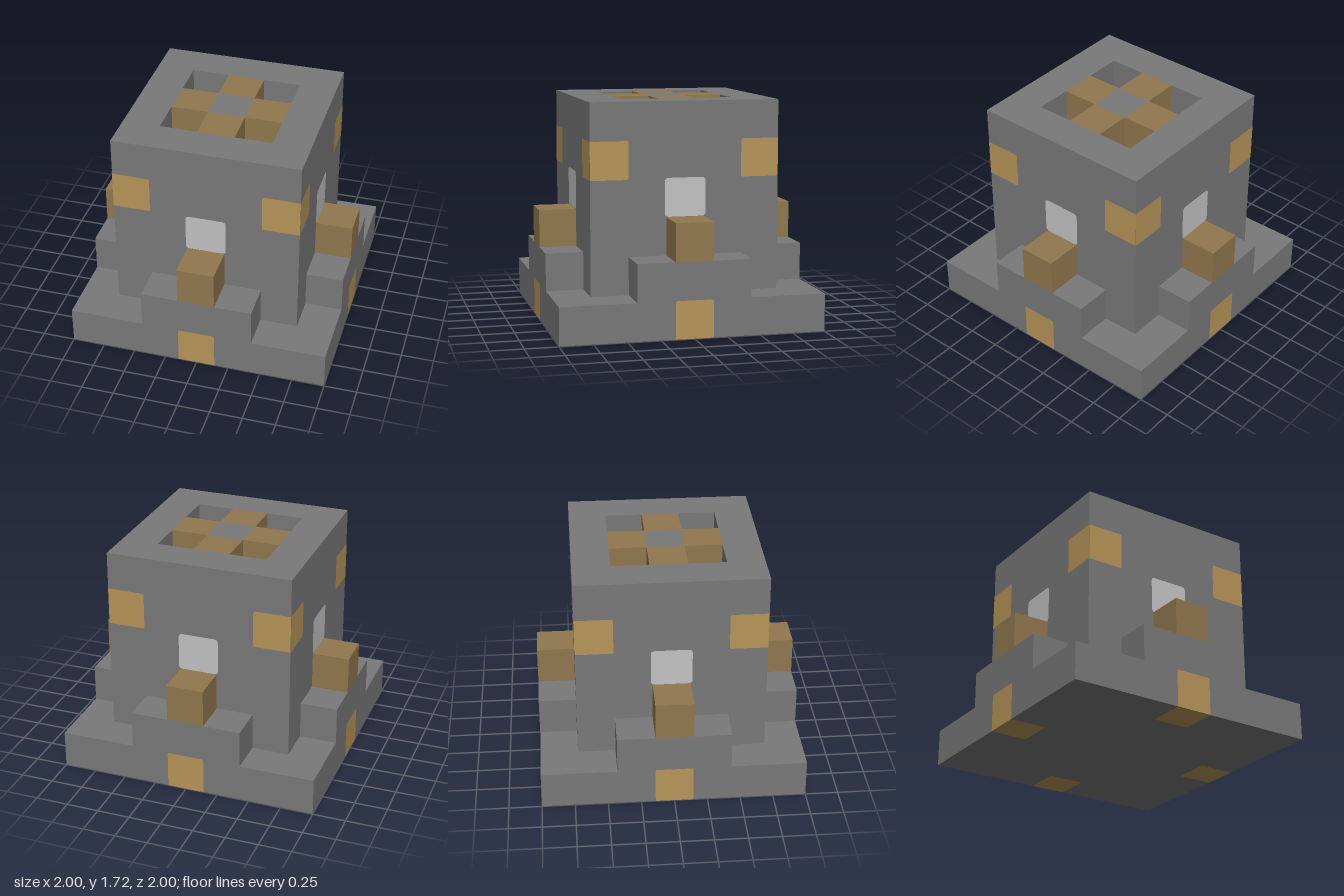
import * as THREE from 'three';

const U = 2 / 7;      // one block
const SKIN = 0.002;   // how far painted faces sit in front of the blocks

export function createModel() {
  const material = (name, color) => {
    const m = new THREE.MeshStandardMaterial({ color });
    m.name = name;
    return m;
  };
  const stone = material('stone grey', 0x797979);
  const wood = material('wood brown', 0x91784e);
  const gold = material('pale gold', 0xb79559);
  const light = material('light grey', 0xc3c3c3);
  const blue = material('water blue', 0x3558b7);

  const model = new THREE.Group();
  model.name = 'blockTower';

  // Box measured in blocks; y is its underside
  const block = (parent, name, mat, w, h, d, x, y, z) => {
    const mesh = new THREE.Mesh(new THREE.BoxGeometry(w * U, h * U, d * U), mat);
    mesh.position.set(x * U, (y + h / 2) * U, z * U);
    mesh.name = name;
    parent.add(mesh);
    return mesh;
  };

  // Flat painted face with radii for its bottom-left, bottom-right, top-right, top-left corners
  const patch = (parent, name, mat, w, h, [bl, br, tr, tl], x, y, z) => {
    const s = new THREE.Shape();
    s.moveTo(-w / 2 + bl, -h / 2);
    s.lineTo(w / 2 - br, -h / 2);
    s.quadraticCurveTo(w / 2, -h / 2, w / 2, -h / 2 + br);
    s.lineTo(w / 2, h / 2 - tr);
    s.quadraticCurveTo(w / 2, h / 2, w / 2 - tr, h / 2);
    s.lineTo(-w / 2 + tl, h / 2);
    s.quadraticCurveTo(-w / 2, h / 2, -w / 2, h / 2 - tl);
    s.lineTo(-w / 2, -h / 2 + bl);
    s.quadraticCurveTo(-w / 2, -h / 2, -w / 2 + bl, -h / 2);
    const mesh = new THREE.Mesh(new THREE.ShapeGeometry(s, 4), mat);
    mesh.position.set(x, y, z);
    mesh.name = name;
    parent.add(mesh);
    return mesh;
  };

  // Base slab and tower body
  block(model, 'base', stone, 7, 1, 7, 0, 0, 0);
  block(model, 'towerBody', stone, 5, 4, 5, 0, 1, 0);

  // Open square rim around the top
  const square = (Type, r) => new Type([[-r, -r], [r, -r], [r, r], [-r, r]]
    .map(([x, y]) => new THREE.Vector2(x, y)));
  const rimShape = square(THREE.Shape, 2.5 * U);
  rimShape.holes.push(square(THREE.Path, 1.5 * U));
  const rim = new THREE.Mesh(
    new THREE.ExtrudeGeometry(rimShape, { depth: U, bevelEnabled: false }), stone);
  rim.rotation.x = -Math.PI / 2;
  rim.position.y = 5 * U;
  rim.name = 'towerRim';
  model.add(rim);

  // Centre of the cross between the pits
  block(model, 'crossCentre', stone, 1, 1, 1, 0, 5, 0);

  // Each side repeats the same set of parts
  const r = 0.015;
  for (let i = 0; i < 4; i++) {
    const side = new THREE.Group();
    side.name = 'side' + (i + 1);
    side.rotation.y = i * Math.PI / 2;
    model.add(side);

    block(side, 'step', stone, 3, 1, 1, 0, 1, 3);
    block(side, 'knob', wood, 1, 1, 1, 0, 2, 3);
    block(side, 'crossArm', wood, 1, 1, 1, 0, 5, 1);

    // Blue floor of one corner pit
    const floor = patch(side, 'pitFloor', blue, U, U, [0, 0, 0, 0], U, 5 * U + SKIN, U);
    floor.rotation.x = -Math.PI / 2;

    // Gold face on the base edge, carried on under the base
    patch(side, 'baseInlay', gold, U, U, [0, 0, r, r], 0, U / 2, 1 + SKIN);
    const under = patch(side, 'undersideInlay', gold, U, U, [r, r, 0, 0], 0, -SKIN, 3 * U);
    under.rotation.x = Math.PI / 2;
    under.scale.y = 1;
    // Gold faces meeting at the tower corners
    const front = 2.5 * U + SKIN;
    patch(side, 'cornerInlayLeft', gold, U, U, [r, 0, 0, r], 2 * U, 4.5 * U, front);
    patch(side, 'cornerInlayRight', gold, U, U, [0, r, r, 0], -2 * U, 4.5 * U, front);

    // Pale window above the knob
    patch(side, 'window', light, 0.31, 0.29, [0.03, 0.03, 0.03, 0.03], 0, 1.005, front);
  }
  return model;
}
